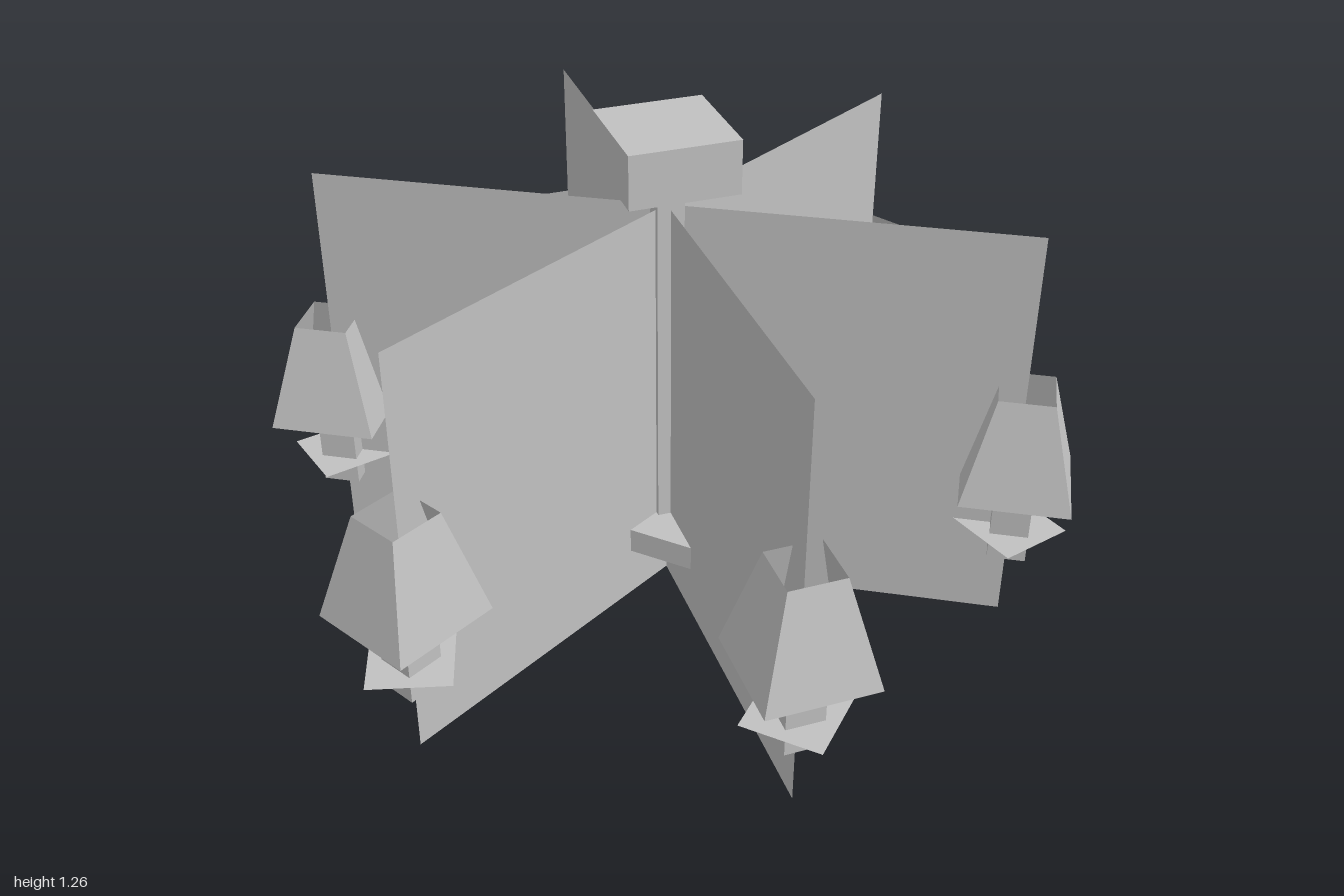
import * as THREE from 'three';

const U = 0.0663; // modelling unit
const RADIUS = 13 * U;

export function createModel() {
  const model = new THREE.Group();
  model.name = 'chandelier';
  const grey = new THREE.MeshStandardMaterial({ color: 0xc0c0c0, flatShading: true, side: THREE.DoubleSide });
  grey.name = 'plain grey';

  const add = (parent, name, geometry, y, turn = 0) => {
    const mesh = new THREE.Mesh(geometry, grey);
    mesh.name = name;
    mesh.position.y = y;
    mesh.rotation.y = turn;
    parent.add(mesh);
    return mesh;
  };

  // Central column: ceiling block, rod and turned lower block
  add(model, 'ceilingBlock', new THREE.BoxGeometry(4 * U, 2 * U, 4 * U), 18 * U);
  add(model, 'rod', new THREE.BoxGeometry(U, 14 * U, U), 10 * U);
  add(model, 'lowerBlock', new THREE.BoxGeometry(4 * U, U, 4 * U), 2.5 * U, Math.PI / 4);

  // Three flat arm panels crossing at the rod
  const panel = new THREE.PlaneGeometry(2 * RADIUS, 16 * U);
  for (let i = 0; i < 3; i++) add(model, 'armPanel', panel, 8 * U, Math.PI / 6 + i * Math.PI / 3);

  // Open four-sided shade, candle tube and thin drip plate
  const shade = new THREE.CylinderGeometry(U * Math.SQRT2, 2 * U * Math.SQRT2, 4 * U, 4, 1, true);
  shade.rotateY(Math.PI / 4);
  const candle = new THREE.BoxGeometry(1.4 * U, 4 * U, 1.4 * U);
  const plate = new THREE.PlaneGeometry(2.92 * U, 2.92 * U).rotateX(-Math.PI / 2);

  // Six lamps, one at the end of each arm
  for (let i = 0; i < 6; i++) {
    const angle = i * Math.PI / 3;
    const lamp = new THREE.Group();
    lamp.name = 'lamp';
    lamp.position.set(Math.sin(angle) * RADIUS, 0, Math.cos(angle) * RADIUS);
    lamp.rotation.y = angle;
    add(lamp, 'shade', shade, 8 * U);
    add(lamp, 'candle', candle, 4.9 * U);
    add(lamp, 'dripPlate', plate, 4 * U, Math.PI / 4);
    model.add(lamp);
  }
  return model;
}
